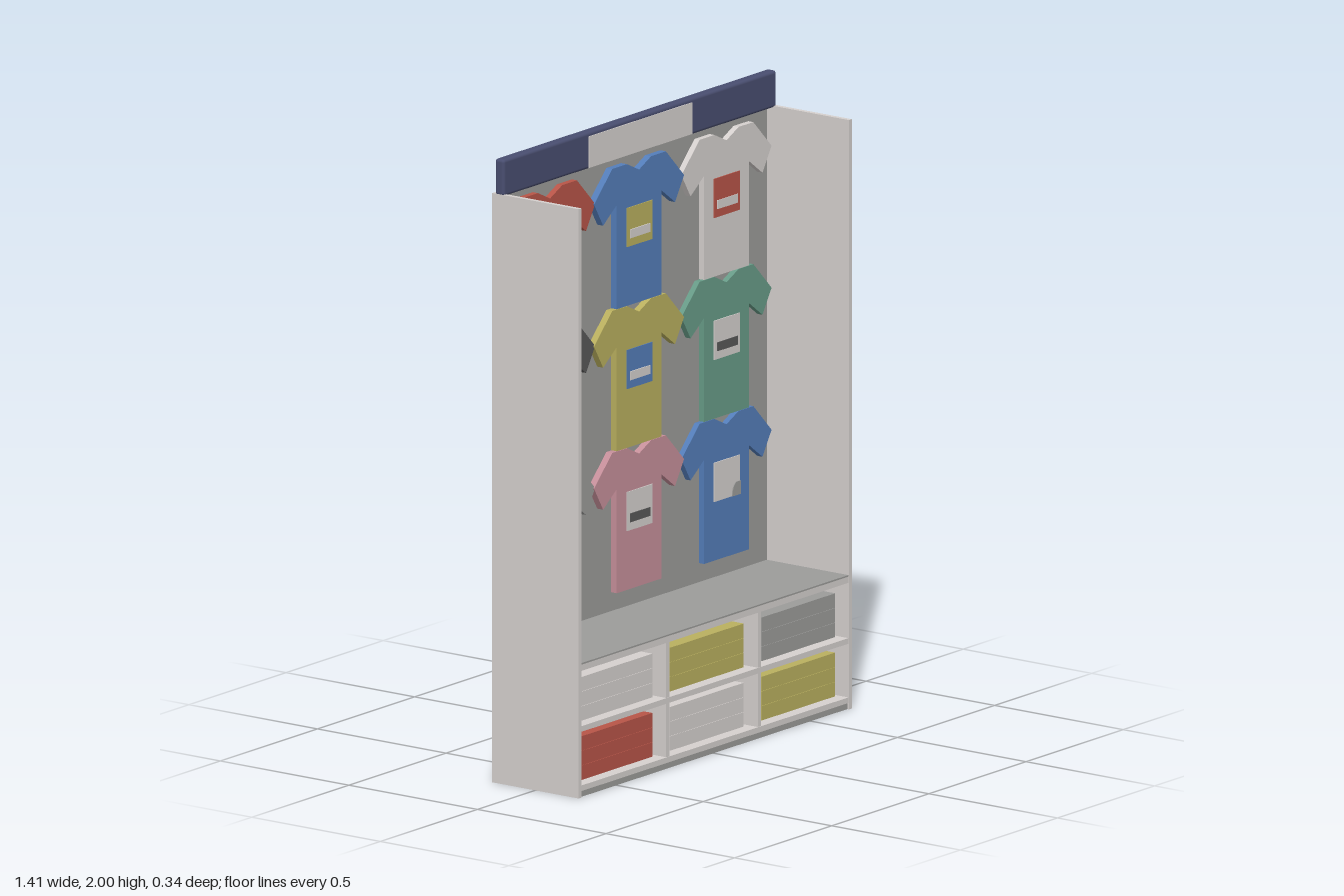
import * as THREE from 'three';
import { RoundedBoxGeometry } from 'three/addons/geometries/RoundedBoxGeometry.js';

const palette = {
  white: 0xd6d1cf, grey: 0x9c9c9a, charcoal: 0x585858, navy: 0x494e70, red: 0xb85548,
  blue: 0x547eba, yellow: 0xbab05f, green: 0x689c88, pink: 0xc7909b,
};

export function createModel() {
  const model = new THREE.Group();
  model.name = 'shirtDisplay';
  const mats = {};
  for (const [name, color] of Object.entries(palette)) {
    mats[name] = new THREE.MeshStandardMaterial({ color });
    mats[name].name = name;
  }

  const add = (parent, name, geometry, color) => {
    const mesh = new THREE.Mesh(geometry, mats[color]);
    mesh.name = name;
    parent.add(mesh);
    return mesh;
  };
  // Box given by its minimum and maximum on each axis
  const box = (parent, name, color, x0, x1, y0, y1, z0, z1) => {
    const mesh = add(parent, name, new THREE.BoxGeometry(x1 - x0, y1 - y0, z1 - z0), color);
    mesh.position.set((x0 + x1) / 2, (y0 + y1) / 2, (z0 + z1) / 2);
    return mesh;
  };

  // Cabinet shell: two sides and a back board with a grey lining
  const cabinet = new THREE.Group();
  cabinet.name = 'cabinet';
  model.add(cabinet);
  box(cabinet, 'rightSide', 'white', -0.703, -0.688, 0, 1.888, -0.167, 0.169);
  box(cabinet, 'leftSide', 'white', 0.688, 0.703, 0, 1.888, -0.167, 0.169);
  box(cabinet, 'backBoard', 'white', -0.688, 0.688, 0.405, 1.885, -0.167, -0.156);
  box(cabinet, 'backLining', 'grey', -0.688, 0.688, 0.425, 1.88, -0.156, -0.15);

  // Base, shelves and dividers of the open cubbies
  box(cabinet, 'plinth', 'grey', -0.688, 0.688, 0, 0.02, -0.163, 0.163);
  box(cabinet, 'baseBoard', 'white', -0.688, 0.688, 0.02, 0.038, -0.167, 0.167);
  box(cabinet, 'middleShelf', 'white', -0.688, 0.688, 0.21, 0.228, -0.167, 0.167);
  box(cabinet, 'counter', 'white', -0.688, 0.688, 0.405, 0.425, -0.156, 0.167);
  box(cabinet, 'counterTop', 'grey', -0.688, 0.688, 0.425, 0.43, -0.15, 0.167);
  for (const x of [-0.239, 0.233]) {
    box(cabinet, 'dividerLower', 'white', x - 0.008, x + 0.008, 0.038, 0.21, -0.165, 0.165);
    box(cabinet, 'dividerUpper', 'white', x - 0.008, x + 0.008, 0.228, 0.405, -0.165, 0.165);
  }

  // Header board with a blank sign plate
  const header = add(model, 'header', new RoundedBoxGeometry(1.406, 0.118, 0.036, 3, 0.01), 'navy');
  header.position.set(0, 1.941, -0.14);
  box(model, 'signPlate', 'white', -0.266, 0.264, 1.886, 1.987, -0.124, -0.119);

  // Shirt outline, with its top edge at y = 0
  const half = [[0, -0.03], [0.062, 0], [0.138, 0], [0.232, -0.095], [0.185, -0.172], [0.115, -0.12], [0.115, -0.454]];
  const mirrored = half.slice(1).reverse().map(([x, y]) => [-x, y]);
  const outline = new THREE.Shape([...half, ...mirrored].map(([x, y]) => new THREE.Vector2(x, y)));

  // Quarter-round patch in the corner of one print
  const patch = new THREE.Shape();
  patch.moveTo(0.066, -0.265);
  patch.lineTo(0.066, -0.222);
  patch.lineTo(0.045, -0.222);
  patch.quadraticCurveTo(0.024, -0.228, 0.024, -0.265);

  // Rows of [shirt, print, bar] colours
  const shirts = [
    [['red', 'white', 'charcoal'], ['blue', 'yellow', 'white'], ['white', 'red', 'white']],
    [['charcoal', 'yellow', 'white'], ['yellow', 'blue', 'white'], ['green', 'white', 'charcoal']],
    [['grey', 'charcoal', 'white'], ['pink', 'white', 'charcoal'], ['blue', 'white', null]],
  ];
  shirts.forEach((row, r) => row.forEach(([body, print, bar], c) => {
    const shirt = new THREE.Group();
    shirt.name = 'shirt';
    // Neighbours step forward a little where their sleeves overlap
    const depth = c === 1 ? 0.023 : 0.02;
    const geometry = new THREE.ExtrudeGeometry(outline, { depth, bevelEnabled: false });
    add(shirt, 'shirtBody', geometry, body);
    box(shirt, 'print', print, -0.066, 0.066, -0.265, -0.14, depth, depth + 0.003);
    if (bar) {
      box(shirt, 'printBar', bar, -0.052, 0.052, -0.239, -0.211, depth + 0.003, depth + 0.006);
    } else {
      const corner = new THREE.ExtrudeGeometry(patch, { depth: 0.003, bevelEnabled: false });
      add(shirt, 'printCorner', corner, 'grey').position.z = depth + 0.003;
    }
    shirt.position.set((c - 1) * 0.454, 1.855 - r * 0.455, -0.15);
    model.add(shirt);
  }));

  // Folded shirts stacked in the cubbies
  const stacks = [['white', 'yellow', 'grey'], ['red', 'white', 'yellow']];
  const columns = [-0.474, -0.004, 0.467];
  stacks.forEach((row, r) => row.forEach((color, c) => {
    const stack = new THREE.Group();
    stack.name = 'foldedStack';
    for (let i = 0; i < 3; i++) {
      const folded = add(stack, 'foldedShirt', new THREE.BoxGeometry(0.378, 0.046, 0.28), color);
      folded.position.y = 0.023 + i * 0.047;
    }
    stack.position.set(columns[c], r === 0 ? 0.234 : 0.044, 0);
    model.add(stack);
  }));

  return model;
}
